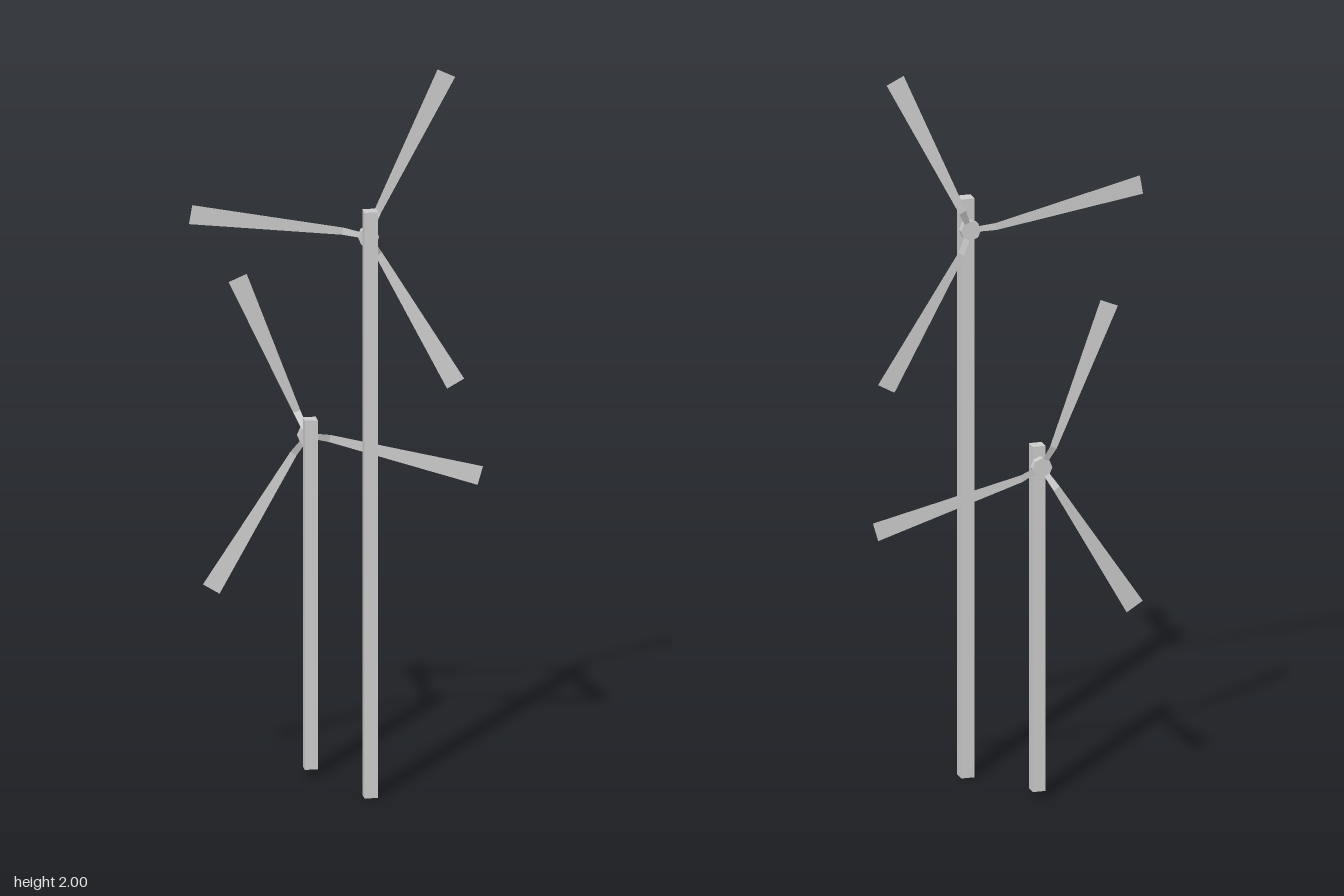
import * as THREE from 'three';

const material = new THREE.MeshStandardMaterial({ color: 0xcccccc, flatShading: true });
const bladeMaterial = new THREE.MeshStandardMaterial({ color: 0xcccccc, flatShading: true, side: THREE.DoubleSide });

const HUB_RADIUS = 0.028, HUB_DEPTH = 0.019;

function addMesh(parent, name, geometry, mat = material) {
  const mesh = new THREE.Mesh(geometry, mat);
  mesh.name = name;
  parent.add(mesh);
  return mesh;
}

// Thin blade along +x: stations of radius, half width and z, bent backwards near the root
function bladeGeometry(length) {
  const stations = [[0.023, 0.008, -0.009], [0.066, 0.010, -0.025], [length, 0.0265, -0.006]];
  const geometry = new THREE.PlaneGeometry(1, 1, stations.length - 1, 1);
  const p = geometry.attributes.position;
  for (let i = 0; i < p.count; i++) {
    const [r, halfWidth, z] = stations[i % stations.length];
    p.setXYZ(i, r, Math.sign(p.getY(i)) * halfWidth, z);
  }
  geometry.computeVertexNormals();
  return geometry;
}

// Eight-sided hub with three unevenly spaced blades
function createRotor(angle) {
  const rotor = new THREE.Group();
  rotor.name = 'rotor';
  const hub = new THREE.CylinderGeometry(HUB_RADIUS, HUB_RADIUS, HUB_DEPTH, 8);
  addMesh(rotor, 'hub', hub.rotateX(Math.PI / 2));
  [[0, 0.491], [106, 0.486], [235, 0.483]].forEach(([offset, length]) => {
    const blade = addMesh(rotor, 'blade', bladeGeometry(length), bladeMaterial);
    blade.rotation.z = THREE.MathUtils.degToRad(angle + offset);
  });
  return rotor;
}

function createTurbine({ name, x, z, width, bottom, top, hubX, hubY, hubZ, angle }) {
  const turbine = new THREE.Group();
  turbine.name = name;
  const height = top - bottom;
  const tower = addMesh(turbine, 'tower', new THREE.BoxGeometry(width, height, width));
  tower.position.set(x, bottom + height / 2, z);
  const rotor = createRotor(angle);
  rotor.position.set(hubX, hubY, hubZ);
  turbine.add(rotor);
  return turbine;
}

export function createModel() {
  const model = new THREE.Group();
  model.name = 'windTurbines';
  model.add(
    createTurbine({
      name: 'tallTurbine', x: 0.068, z: 0.131, width: 0.037, bottom: 0, top: 1.627,
      hubX: 0.068, hubY: 1.545, hubZ: 0.096, angle: 64.4,
    }),
    createTurbine({
      name: 'shortTurbine', x: -0.058, z: -0.097, width: 0.035, bottom: 0.02, top: 0.99,
      hubX: -0.06, hubY: 0.935, hubZ: -0.126, angle: 238,
    }),
  );
  return model;
}
